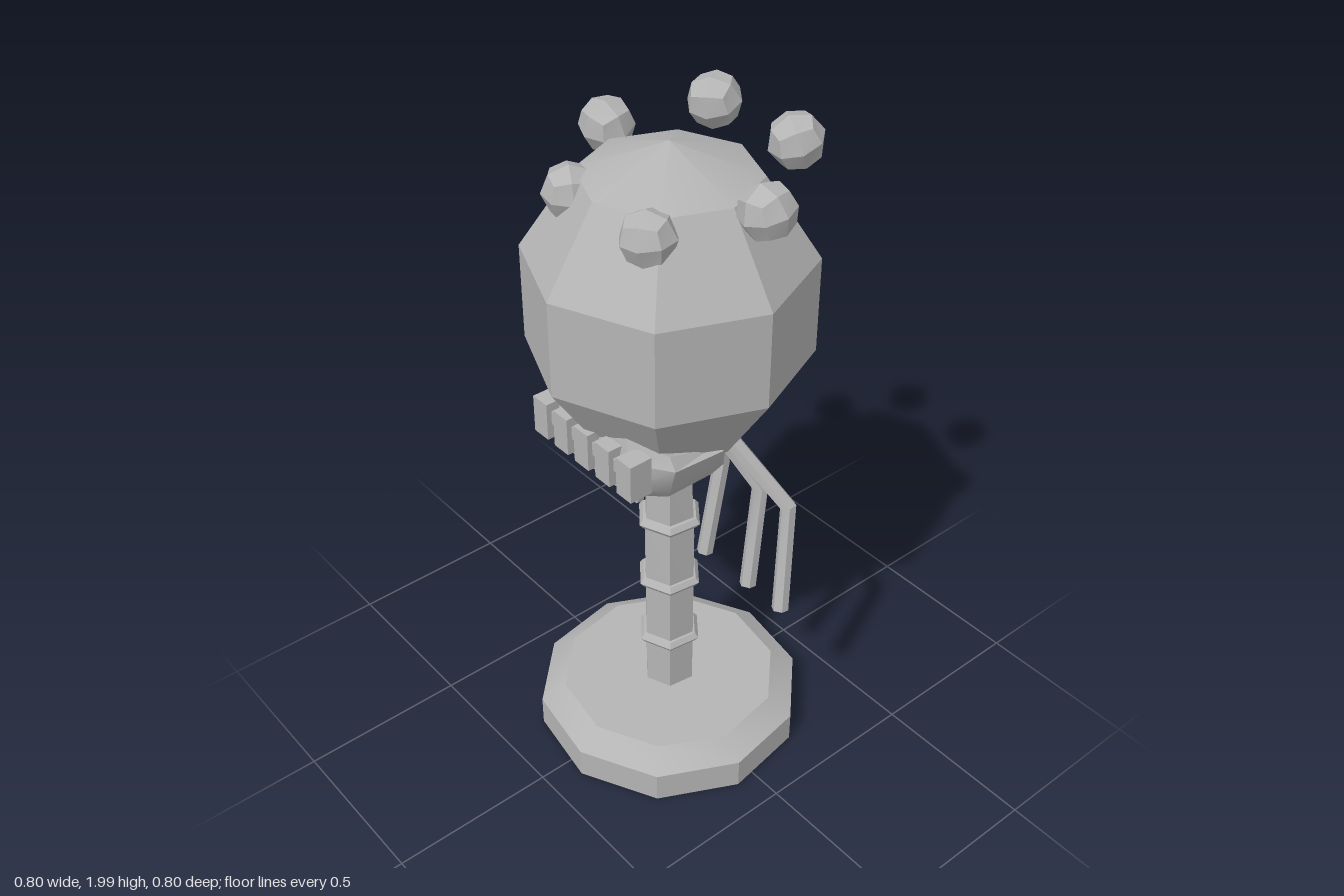
import * as THREE from 'three';
import { toCreasedNormals } from 'three/addons/utils/BufferGeometryUtils.js';

const V = (x, y, z) => new THREE.Vector3(x, y, z);
const DEG = Math.PI / 180;

// Skins a stack of rings (each counterclockwise about the direction of travel) and caps both ends
function loft(rings) {
  const n = rings[0].length;
  const points = rings.flat();
  const index = [];
  for (let r = 0; r < rings.length - 1; r++) {
    for (let i = 0; i < n; i++) {
      const a = r * n + i, b = r * n + (i + 1) % n;
      index.push(a, b, b + n, a, b + n, a + n);
    }
  }
  [rings[0], rings[rings.length - 1]].forEach((ring, end) => {
    const base = end ? (rings.length - 1) * n : 0;
    const mid = points.length;
    points.push(ring.reduce((s, p) => s.add(p), V(0, 0, 0)).divideScalar(n));
    for (let i = 0; i < n; i++) {
      const a = base + i, b = base + (i + 1) % n;
      if (end) index.push(mid, a, b); else index.push(mid, b, a);
    }
  });
  const g = new THREE.BufferGeometry().setFromPoints(points);
  g.setIndex(index);
  return g;
}

export function createModel() {
  const model = new THREE.Group();
  const grey = new THREE.MeshStandardMaterial({ color: 0xb4b4b4 });
  grey.name = 'plain grey';

  function add(name, geometry, x = 0, y = 0, z = 0) {
    const mesh = new THREE.Mesh(toCreasedNormals(geometry, 25 * DEG), grey);
    mesh.name = name;
    mesh.position.set(x, y, z);
    model.add(mesh);
    return mesh;
  }

  // Ten-sided base with a bevelled rim
  const baseProfile = [[0, 0], [0.405, 0], [0.405, 0.095], [0.33, 0.145], [0, 0.145]];
  add('base', new THREE.LatheGeometry(baseProfile.map(p => new THREE.Vector2(...p)), 10, 9 * DEG));

  // Six-sided stalk, narrowing at the top
  const stalkProfile = [[0.08, 0.14], [0.082, 0.72], [0.066, 1.08]];
  add('stalk', new THREE.LatheGeometry(stalkProfile.map(p => new THREE.Vector2(...p)), 6, -8 * DEG));

  // Collars around the stalk
  const collarProfile = [[0.07, -0.02], [0.088, -0.016], [0.1, 0], [0.088, 0.016], [0.07, 0.02]];
  for (const y of [0.32, 0.545, 0.77]) {
    add('stalkCollar', new THREE.LatheGeometry(collarProfile.map(p => new THREE.Vector2(...p)), 6, -8 * DEG), 0, y, 0);
  }

  // Faceted head
  add('head', new THREE.SphereGeometry(0.41, 8, 5).scale(1, 0.45 / 0.41, 1), 0, 1.5, 0);

  // Jaw: chamfered outlines stacked upwards, with the lip raised at the front
  const outline = [[0.6, 1], [1, 0.5], [1, -0.5], [0.6, -1], [-0.6, -1], [-1, -0.5], [-1, 0.5], [-0.6, 1]];
  const jawLayers = [
    { y: 1.03, w: 0.185, back: -0.07, front: 0.235, lift: 0 },
    { y: 1.08, w: 0.22, back: -0.1, front: 0.275, lift: 0 },
    { y: 1.155, w: 0.25, back: -0.06, front: 0.27, lift: 0.02 },
    { y: 1.16, w: 0.225, back: -0.02, front: 0.255, lift: 0.08 },
  ];
  add('jaw', loft(jawLayers.map(l => outline.map(([x, z]) =>
    V(x * l.w, l.y + l.lift * Math.max(0, z), THREE.MathUtils.lerp(l.back, l.front, (z + 1) / 2))))));

  // Teeth in a row, joined by a narrow gum bar
  for (let i = -2; i <= 2; i++) {
    add('tooth', new THREE.BoxGeometry(0.06, 0.115, 0.07), i * 0.09, 1.155, 0.27);
  }
  add('gumBar', new THREE.BoxGeometry(0.4, 0.04, 0.04), 0, 1.165, 0.27);

  // Faceted balls in a tilted crown around the top of the head
  for (let i = 0; i < 6; i++) {
    const a = i * 60 * DEG;
    const ball = new THREE.BoxGeometry(1, 1, 1, 2, 2, 2);
    const pos = ball.attributes.position;
    for (let k = 0; k < pos.count; k++) {
      const p = V(0, 0, 0).fromBufferAttribute(pos, k).setLength(0.076);
      pos.setXYZ(k, p.x, p.y, p.z);
    }
    const mesh = add('crownBall', ball, 0.308 * Math.cos(a), 1.868 - 0.06 * Math.sin(a), -0.045 + 0.28 * Math.sin(a) * 0.98);
    mesh.rotation.set(0.2, -a, 0.15);
  }

  // Bent tendrils hanging behind the stalk: rings run from the tip up to the root
  const tendrils = [[0, 0, 0], [0.06, 0.165, 0.193], [0.095, 0.282, 0.332]];
  for (const [root, bend, tip] of tendrils) {
    for (const side of root ? [1, -1] : [1]) {
      const path = [V(side * tip, 0.55, -0.14), V(side * bend, 0.87, -0.2), V(side * root, 1.11, -0.09)];
      const rings = path.map((p, k) => {
        const dir = path[Math.min(k + 1, 2)].clone().sub(path[Math.max(k - 1, 0)]).normalize();
        const turn = new THREE.Quaternion().setFromUnitVectors(V(0, 1, 0), dir);
        return Array.from({ length: 6 }, (_, i) =>
          V(Math.sin(i * 60 * DEG), 0, Math.cos(i * 60 * DEG)).multiplyScalar(0.025).applyQuaternion(turn).add(p));
      });
      add('tendril', loft(rings));
    }
  }

  return model;
}
